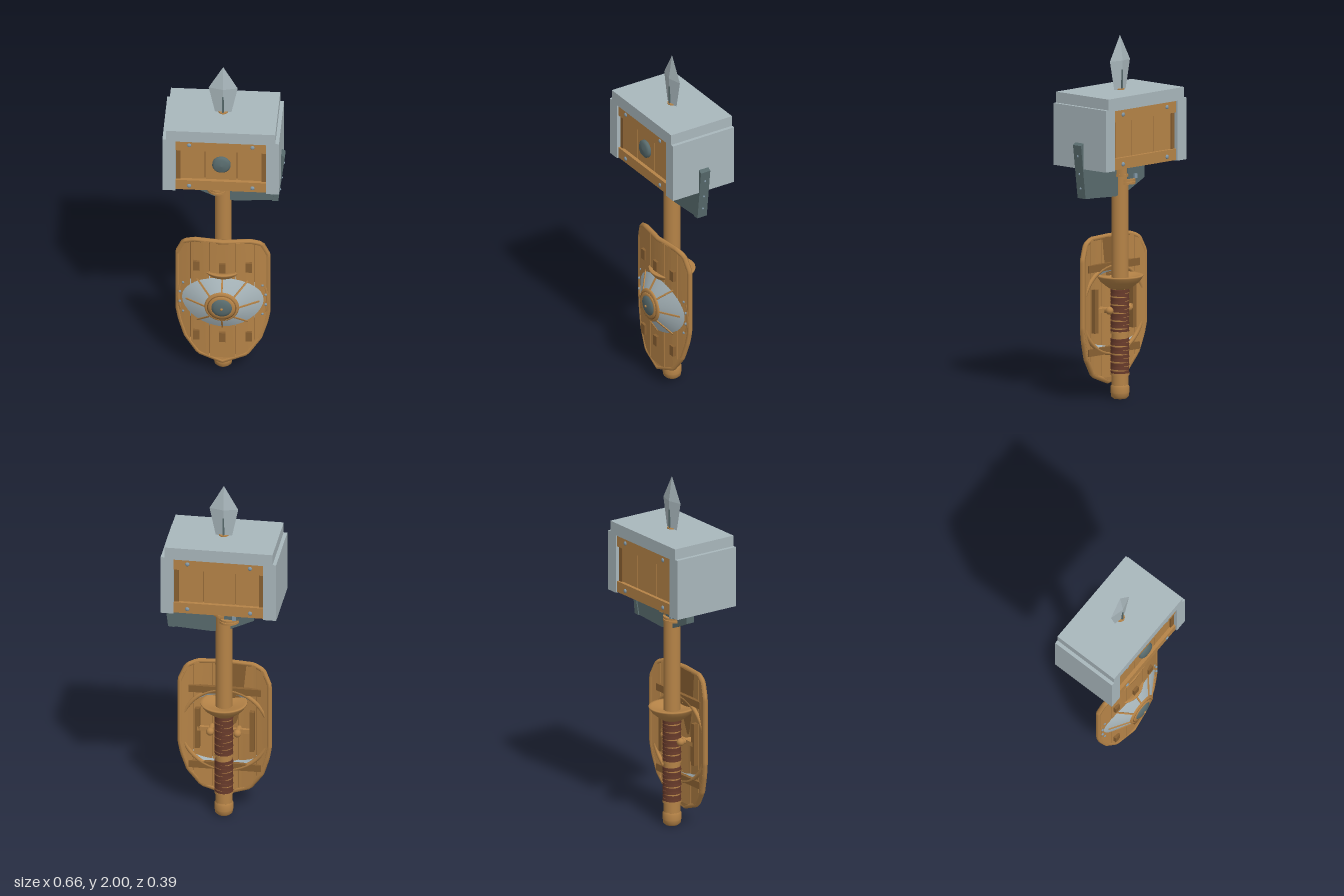
import * as THREE from 'three';

const mat = (name, color, double) => {
  const m = new THREE.MeshStandardMaterial({ color });
  m.name = name;
  if (double) m.side = THREE.DoubleSide;
  return m;
};
const CX = -0.01; // shared centre line of shaft and shield

export function createModel() {
  const wood = mat('wood', 0xb58347);
  const darkWood = mat('dark wood', 0x8a6132);
  const steel = mat('pale steel', 0xa9b7bc, true);
  const iron = mat('dark iron', 0x586b6d);
  const leather = mat('leather', 0x673a2a);
  const rivet = mat('rivet', 0x8399a8);

  const root = new THREE.Group();
  root.name = 'hammerAndShield';
  const group = (name, parent = root) => {
    const g = new THREE.Group();
    g.name = name;
    parent.add(g);
    return g;
  };
  const add = (parent, name, geo, m, x = 0, y = 0, z = 0) => {
    const mesh = new THREE.Mesh(geo, m);
    mesh.name = name;
    mesh.position.set(x, y, z);
    parent.add(mesh);
    return mesh;
  };
  // Box given by its limits
  const box = (parent, name, m, x0, x1, y0, y1, z0, z1) =>
    add(parent, name, new THREE.BoxGeometry(x1 - x0, y1 - y0, z1 - z0), m, (x0 + x1) / 2, (y0 + y1) / 2, (z0 + z1) / 2);
  const lathe = (pts, seg = 32) => new THREE.LatheGeometry(pts.map(p => new THREE.Vector2(...p)), seg);
  const flat = geo => {
    const g = geo.toNonIndexed();
    g.computeVertexNormals();
    return g;
  };
  const polygon = pts => new THREE.Shape(pts.map(p => new THREE.Vector2(...p)));

  // ---- Hammer head: steel cap and cheeks around a wooden core
  const head = group('head');
  box(head, 'headCap', steel, -0.31, 0.285, 1.63, 1.70, -0.197, 0.197);
  box(head, 'rightCheek', steel, -0.33, -0.258, 1.30, 1.64, -0.197, 0.197);
  box(head, 'leftCheek', steel, 0.235, 0.305, 1.30, 1.64, -0.197, 0.197);
  box(head, 'headCore', darkWood, -0.258, 0.235, 1.302, 1.63, -0.155, 0.155);
  for (const side of [1, -1]) {
    const panel = group(side > 0 ? 'frontPanel' : 'backPanel', head);
    const zBox = (name, m, x0, x1, y0, y1, a, b) =>
      box(panel, name, m, x0, x1, y0, y1, Math.min(a * side, b * side), Math.max(a * side, b * side));
    for (const [x0, x1] of [[-0.232, -0.102], [-0.098, 0.072], [0.076, 0.209]])
      zBox('panelPlank', wood, x0, x1, 1.36, 1.57, 0.15, 0.168);
    for (const [y0, y1] of [[1.303, 1.365], [1.565, 1.63]]) {
      zBox('panelRail', wood, -0.258, 0.235, y0, y1, 0.15, 0.188);
      for (const x of [-0.185, 0.16]) {
        const s = add(panel, 'panelStud', new THREE.SphereGeometry(0.012, 10, 8), rivet, x, (y0 + y1) / 2 + 0.005 * Math.sign(y0 - 1.45), 0.188 * side);
        s.scale.z = 0.6;
      }
    }
    for (const [x0, x1] of [[-0.258, -0.232], [0.209, 0.235]])
      zBox('panelEdge', darkWood, x0, x1, 1.36, 1.57, 0.15, 0.176);
  }
  const medal = add(head, 'frontBoss', lathe([[0.05, 0], [0.05, 0.014], [0.038, 0.024], [0, 0.028]]), iron, CX, 1.47, 0.167);
  medal.rotation.x = Math.PI / 2;
  box(head, 'headUnderside', wood, -0.258, 0.235, 1.30, 1.306, -0.155, 0.155);

  // ---- Top spike: four-sided blade
  const spike = add(root, 'spike', flat(lathe([[0, 1.69], [0.043, 1.69], [0.079, 1.86], [0, 2]], 4)), steel, -0.012);
  spike.scale.z = 0.26;
  box(root, 'spikeTang', iron, -0.016, -0.008, 1.70, 1.81, -0.02, 0.02);
  add(root, 'spikeCollar', new THREE.CylinderGeometry(0.026, 0.026, 0.012, 20), wood, -0.012, 1.70);

  // ---- Iron blade slung under the head, with an upright hook arm
  const extrude = (pts, depth) =>
    new THREE.ExtrudeGeometry(polygon(pts), { depth, bevelEnabled: false }).translate(0, 0, -depth / 2);
  const blade = group('underBlade');
  add(blade, 'bladePlate', extrude([[-0.18, 1.31], [-0.18, 1.20], [-0.04, 1.135], [0.05, 1.12], [0.285, 1.134], [0.30, 1.31]], 0.048), iron);
  add(blade, 'hookArm', extrude([[0.255, 1.131], [0.29, 1.134], [0.326, 1.43], [0.305, 1.442], [0.30, 1.31]], 0.06), iron);
  for (const y of [1.19, 1.27, 1.37]) {
    const s = add(blade, 'hookRivet', new THREE.SphereGeometry(0.007, 8, 6), rivet, 0.297 + (y - 1.19) * 0.121, y, 0);
    s.scale.z = 0.8;
  }
  box(blade, 'bladeSocket', iron, -0.10, -0.02, 1.21, 1.305, -0.05, 0.05);

  // ---- Shaft, collars, grip and pommel
  const shaft = group('shaft');
  shaft.position.x = -0.012;
  add(shaft, 'shaftPole', new THREE.CylinderGeometry(0.046, 0.046, 1.20, 32), wood, 0, 0.66);
  add(shaft, 'upperCollar', new THREE.CylinderGeometry(0.037, 0.037, 0.075, 24), wood, 0.02, 1.265).scale.z = 1.75;
  add(shaft, 'collarLip', new THREE.CylinderGeometry(0.04, 0.04, 0.012, 24), wood, 0.018, 1.234).scale.z = 1.75;
  for (const y of [1.187, 1.203])
    add(shaft, 'lowerCollar', new THREE.CylinderGeometry(0.06, 0.06, 0.012, 28), wood, -0.03, y).scale.z = 1.15;
  box(shaft, 'collarPin', rivet, -0.075, -0.055, 1.21, 1.235, -0.06, 0.06);
  add(shaft, 'guard', lathe([[0, 0.605], [0.055, 0.605], [0.075, 0.618], [0.108, 0.645], [0.127, 0.672], [0.127, 0.68], [0.112, 0.68], [0.046, 0.66]]), wood);
  add(shaft, 'pommel', lathe([[0, 0], [0.036, 0], [0.048, 0.012], [0.05, 0.03], [0.052, 0.034], [0.052, 0.066], [0.046, 0.074], [0.046, 0.08]]), wood);
  for (const [y0, y1] of [[0.135, 0.335], [0.365, 0.605]]) {
    const n = Math.round((y1 - y0) / 0.022);
    for (let i = 0; i < n; i++) {
      const y = y0 + (i + 0.5) * (y1 - y0) / n;
      const r = add(shaft, 'gripWrap', new THREE.CylinderGeometry(0.05, 0.051, 0.0185, 24), leather, 0, y);
      r.rotation.z = i % 2 ? 0.07 : -0.05;
    }
    add(shaft, 'gripBand', new THREE.CylinderGeometry(0.052, 0.052, 0.012, 24), wood, 0, y0);
  }

  // ---- Shield: planks bent around the vertical axis
  const shield = group('shield');
  shield.position.x = CX;
  const TOP = [[0, 0.883], [0.155, 0.883], [0.21, 0.86], [0.245, 0.78]];
  const BOTTOM = [[0, 0.085], [0.13, 0.133], [0.2, 0.23], [0.232, 0.33], [0.245, 0.4]];
  const edgeY = (table, x) => {
    const u = Math.min(Math.abs(x), 0.245);
    const i = Math.max(1, table.findIndex(p => p[0] >= u));
    const [a, b] = [table[i - 1], table[i]];
    return a[1] + (b[1] - a[1]) * (u - a[0]) / (b[0] - a[0]);
  };
  const bendZ = x => 0.1 - 0.75 * x * x;
  const sheet = (x0, x1, back, depth) => {
    const xs = [];
    const n = Math.ceil((x1 - x0) / 0.02);
    for (let i = 0; i <= n; i++) xs.push(x0 + (x1 - x0) * i / n);
    const pts = [...xs.map(x => [x, edgeY(BOTTOM, x)]), ...xs.reverse().map(x => [x, edgeY(TOP, x)])];
    const geo = new THREE.ExtrudeGeometry(polygon(pts), { depth, bevelEnabled: false });
    const p = geo.attributes.position;
    for (let i = 0; i < p.count; i++) p.setZ(i, p.getZ(i) + back + bendZ(p.getX(i)));
    geo.computeVertexNormals();
    return geo;
  };
  const cuts = [-0.245, -0.175, -0.07, 0.07, 0.175, 0.245];
  for (let i = 0; i < 5; i++)
    add(shield, 'shieldPlank', sheet(cuts[i] + 0.002, cuts[i + 1] - 0.002, -0.024, 0.024), wood);
  add(shield, 'shieldCore', sheet(-0.243, 0.243, -0.016, 0.008), darkWood);

  // Rim strip along the outline
  const half = [...TOP, ...BOTTOM.slice().reverse()];
  const outline = [...half, ...half.slice(1, -1).reverse().map(([x, y]) => [-x, y])];
  const rim = new THREE.CurvePath();
  outline.forEach(([x, y], i) => {
    const [nx, ny] = outline[(i + 1) % outline.length];
    rim.add(new THREE.LineCurve3(new THREE.Vector3(x, y, bendZ(x) - 0.01), new THREE.Vector3(nx, ny, bendZ(nx) - 0.01)));
  });
  add(shield, 'shieldRim', new THREE.TubeGeometry(rim, 120, 0.015, 6, true), wood);

  // Small mounting plates
  for (const y of [0.72, 0.255])
    for (const x of [-0.143, 0, 0.143])
      box(shield, 'shieldPlate', darkWood, x - 0.018, x + 0.018, y - 0.03, y + 0.03, bendZ(x) - 0.01, bendZ(x) + 0.014);

  // Conical steel face, ring, spokes and boss
  const face = group('shieldFace', shield);
  face.position.y = 0.487;
  const turned = (name, pts, m) => { add(face, name, lathe(pts, 48), m).rotation.x = Math.PI / 2; };
  turned('steelCone', [[0.235, 0.055], [0.085, 0.148], [0, 0.148]], steel);
  add(face, 'coneRing', new THREE.TorusGeometry(0.242, 0.012, 8, 48), wood, 0, 0, 0.05);
  turned('bossOuterRing', [[0.094, 0.13], [0.094, 0.147], [0.087, 0.153], [0.074, 0.153]], wood);
  turned('bossGroove', [[0.08, 0.14], [0.08, 0.154], [0.07, 0.154]], darkWood);
  turned('bossInnerRing', [[0.074, 0.14], [0.074, 0.157], [0.056, 0.157]], wood);
  turned('boss', [[0.059, 0.145], [0.056, 0.158], [0.04, 0.166], [0.02, 0.17], [0, 0.171]], iron);
  add(face, 'bossStud', new THREE.SphereGeometry(0.008, 10, 8), wood, 0, 0, 0.17);
  for (let i = 0; i < 8; i++) {
    const arm = group('spokeArm', face);
    arm.rotation.z = i * Math.PI / 4;
    const spoke = add(arm, 'spoke', new THREE.BoxGeometry(0.125, 0.009, 0.012), wood, 0.145, 0, 0.2 - 0.62 * 0.145);
    spoke.rotation.y = Math.atan(0.62);
  }
  for (const s of [-1, 1])
    for (const a of [-0.42, -0.14, 0.14, 0.42])
      add(face, 'rimStud', new THREE.SphereGeometry(0.008, 8, 6), rivet, s * 0.236 * Math.cos(a), 0.236 * Math.sin(a), 0.063);

  // Braces and handle fittings on the back
  for (const y of [0.725, 0.265])
    box(shield, 'backBrace', darkWood, -0.2, 0.2, y - 0.02, y + 0.02, 0.04, 0.062);
  for (const x of [-0.15, 0.15])
    box(shield, 'backUpright', darkWood, x - 0.013, x + 0.013, 0.37, 0.61, 0.03, 0.062);
  for (const s of [-1, 1]) {
    const peg = add(shield, 'backPeg', new THREE.CylinderGeometry(0.016, 0.016, 0.07, 16), wood, s * 0.075, 0.49, 0.04);
    peg.rotation.x = Math.PI / 2;
    add(shield, 'pegKnob', new THREE.SphereGeometry(0.022, 14, 10), wood, s * 0.075, 0.49, 0.005);
  }
  box(shield, 'backCrossbar', wood, -0.15, 0.15, 0.478, 0.502, 0.03, 0.05);

  return root;
}
